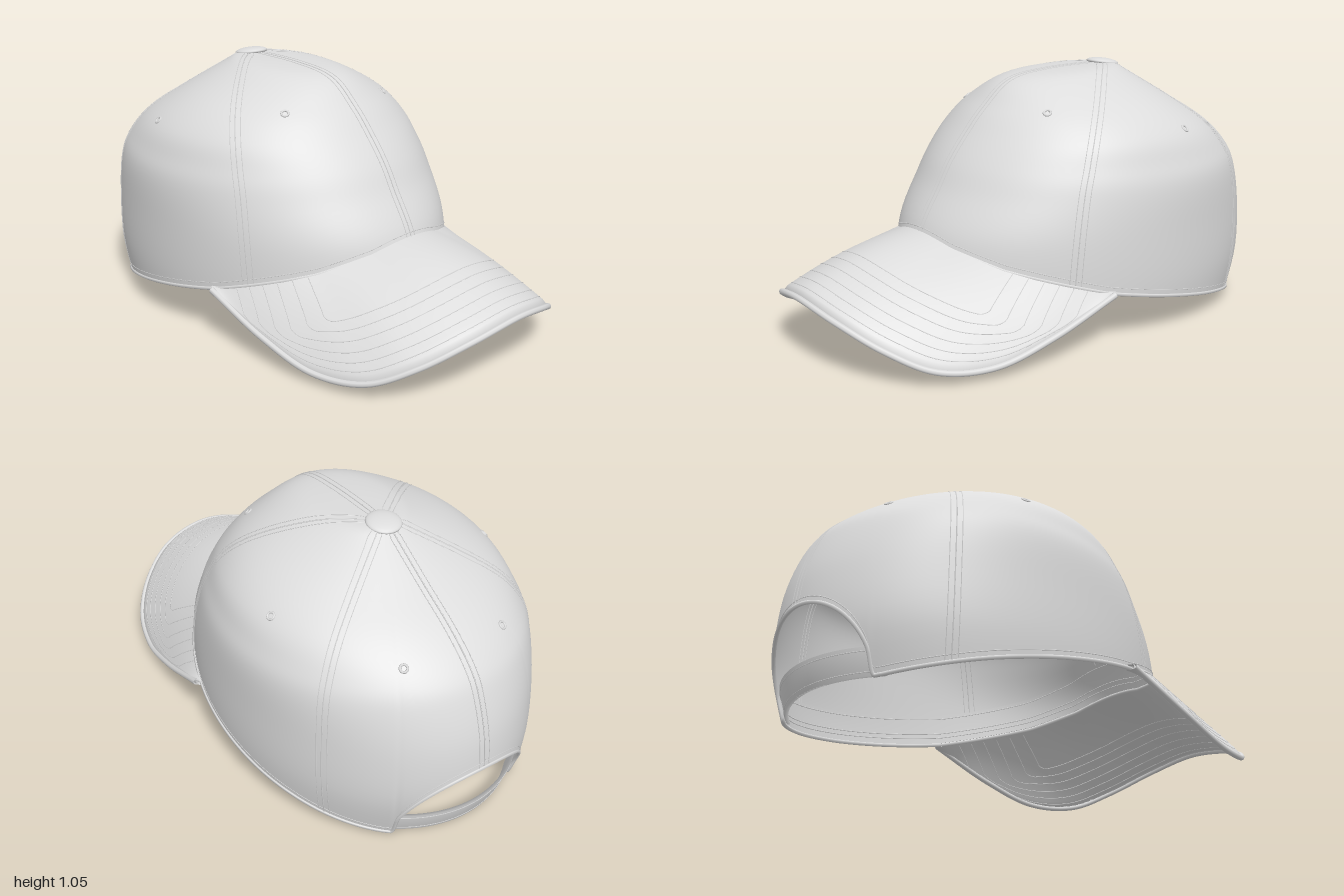
import * as THREE from 'three';
import { mergeVertices } from 'three/addons/utils/BufferGeometryUtils.js';

const fabric = new THREE.MeshStandardMaterial({ color: 0xdcdcdc, side: THREE.DoubleSide });
fabric.name = 'grey fabric';
const RAD = Math.PI / 180;

// Crown slices: height, forward offset, half length, half width (origin under the button, cap faces +z)
const SLICES = [
  [-0.02, 0.18, 0.775, 0.595], [0.2, 0.165, 0.825, 0.62], [0.42, 0.156, 0.81, 0.622],
  [0.6, 0.133, 0.735, 0.615], [0.7, 0.135, 0.675, 0.585], [0.8, 0.157, 0.575, 0.535],
  [0.9, 0.195, 0.445, 0.42], [1.0, 0.21, 0.3, 0.23], [1.031, 0.13, 0.17, 0.13], [1.036, 0, 0.004, 0.004],
];
const TOP = SLICES.length - 1;
// Height of the bottom edge against forward position
const RIM = [[-0.7, 0.01], [-0.53, 0.01], [-0.2, 0.085], [0.06, 0.14], [0.45, 0.22],
  [0.62, 0.27], [0.82, 0.33], [0.95, 0.39], [1.0, 0.43]];
const ARCH = 30, ARCH_TOP = 0.32;

function slice(k) {
  const i = Math.min(TOP - 1, Math.max(0, Math.floor(k))), t = k - i;
  const row = (n) => SLICES[Math.min(TOP, Math.max(0, n))];
  return [0, 1, 2, 3].map((c) => {
    const [a, b, d, e] = [row(i - 1)[c], row(i)[c], row(i + 1)[c], row(i + 2)[c]];
    return b + 0.5 * t * (d - a + t * (2 * a - 5 * b + 4 * d - e + t * (3 * (b - d) + e - a)));
  });
}

// Slice number for a height
function sliceAt(y) {
  let lo = 0, hi = TOP;
  for (let i = 0; i < 30; i++) {
    const mid = (lo + hi) / 2;
    if (slice(mid)[0] < y) lo = mid; else hi = mid;
  }
  return (lo + hi) / 2;
}

// Point on the crown at an angle from the front (degrees), a slice number and an outward offset
function onCrown(deg, k, off = 0) {
  const [y, c, a, b] = slice(k), s = Math.sin(deg * RAD), co = Math.cos(deg * RAD);
  const A = (co * co) / (a * a) + (s * s) / (b * b), B = (-c * co) / (a * a), C = (c * c) / (a * a) - 1;
  const r = Math.max(0, (-B + Math.sqrt(Math.max(0, B * B - A * C))) / A) + off;
  return new THREE.Vector3(r * s, y, r * co);
}

function rimY(deg) {
  const u = onCrown(deg, 1).z;
  let i = 0;
  while (i < RIM.length - 2 && u > RIM[i + 1][0]) i++;
  const [p, q] = [RIM[i], RIM[i + 1]];
  const y = p[1] + (q[1] - p[1]) * Math.min(1, (u - p[0]) / (q[0] - p[0]));
  const back = Math.abs(180 - (((deg % 360) + 360) % 360)) / ARCH;
  return back < 1 ? Math.max(y, ARCH_TOP * Math.sqrt(1 - back * back)) : y;
}
const onRim = (deg, up = 0, off = 0) => onCrown(deg, sliceAt(rimY(deg) + up), off);

// Smooth surface through a grid of points, f(i/cols, j/rows)
function grid(cols, rows, f) {
  const pos = [], idx = [], w = rows + 1;
  for (let i = 0; i <= cols; i++) for (let j = 0; j <= rows; j++) pos.push(...f(i / cols, j / rows).toArray());
  for (let i = 0; i < cols; i++) for (let j = 0; j < rows; j++) {
    const a = i * w + j, b = a + w;
    idx.push(a, b, b + 1, a, b + 1, a + 1);
  }
  let g = new THREE.BufferGeometry();
  g.setAttribute('position', new THREE.Float32BufferAttribute(pos, 3));
  g.setIndex(idx);
  g = mergeVertices(g, 1e-5);
  g.computeVertexNormals();
  return g;
}

// Thin cord through n + 1 points
function cord(n, radius, f, closed = false, sides = 4) {
  const pts = Array.from({ length: closed ? n : n + 1 }, (_, i) => f(i / n));
  return new THREE.TubeGeometry(new THREE.CatmullRomCurve3(pts, closed), n * 2, radius, sides, closed);
}

export function createModel() {
  const model = new THREE.Group();
  model.name = 'cap';
  const cap = new THREE.Group();
  cap.name = 'capBody';
  cap.rotation.y = 56.6 * RAD;
  cap.position.set(-0.36, 0, -0.25);
  model.add(cap);
  const add = (name, geometry) => {
    const m = new THREE.Mesh(geometry, fabric);
    m.name = name;
    cap.add(m);
    return m;
  };

  // Crown, its hem and the band inside
  add('crown', grid(240, 44, (i, j) => {
    const deg = i === 1 ? 0 : i * 360, k0 = sliceAt(rimY(deg));
    return onCrown(deg, k0 + (TOP - k0) * j);
  }));
  add('hem', cord(240, 0.008, (t) => onRim(t * 360), true, 5));
  add('hemStitch', cord(240, 0.002, (t) => onRim(t * 360, 0.025), true));
  add('sweatband', grid(120, 4, (i, j) => onRim(-148 + 296 * i, 0.005 + 0.13 * j, -0.01)));
  for (const up of [0.03, 0.05, 0.12]) {
    add('sweatbandStitch', cord(100, 0.002, (t) => onRim(-147 + 294 * t, up, -0.011)));
  }

  // Six panel seams, each a fine ridge between two rows of stitching
  for (const [top, bottom] of [[0, 0], [50, 42], [-50, -42], [123, 124], [-123, -124], [180, 180]]) {
    const k0 = sliceAt(rimY(bottom)), k1 = TOP - 0.3;
    for (const side of [-1, 0, 1]) {
      add(side ? 'seamStitch' : 'seam', cord(40, side ? 0.002 : 0.003, (t) => {
        const k = k0 + (k1 - k0) * t, deg = bottom + (top - bottom) * t;
        const p = onCrown(deg, k), r = Math.max(0.08, Math.hypot(p.x, p.z));
        return onCrown(deg + (side * 0.022) / r / RAD, k);
      }));
    }
  }

  // Eyelets, lying flat on the panels
  for (const s of [-1, 1]) for (const [deg, y] of [[27.6, 0.9], [91, 0.81], [153, 0.74]]) {
    const k = sliceAt(y), p = onCrown(s * deg, k);
    const du = onCrown(s * deg + 1, k).sub(p), dv = onCrown(s * deg, k + 0.05).sub(p);
    const eyelet = add('eyelet', new THREE.TorusGeometry(0.014, 0.005, 6, 16));
    eyelet.position.copy(p);
    eyelet.quaternion.setFromUnitVectors(new THREE.Vector3(0, 0, 1), du.cross(dv).normalize());
  }

  // Top button
  const button = add('button', new THREE.SphereGeometry(0.07, 28, 14));
  button.scale.y = 0.26;
  button.position.set(0, 1.033, 0);
  button.rotation.x = -0.14;

  // Back strap
  add('strap', grid(40, 4, (i, j) => {
    const [y, off] = [[0.012, -0.01], [0.11, -0.01], [0.11, -0.022], [0.012, -0.022], [0.012, -0.01]][Math.round(j * 4)];
    return onCrown(146 + 68 * i, sliceAt(y), off);
  }));
  for (const y of [0.026, 0.096]) add('strapStitch', cord(30, 0.002, (t) => onCrown(147 + 66 * t, sliceAt(y), -0.01)));

  // Brim, spanned between the crown's front edge and an outer curve
  const half = [[0.605, 0.22, 0.45], [0.595, 0.11, 0.75], [0.565, 0.045, 1.0], [0.5, 0.06, 1.21],
    [0.39, 0.135, 1.355], [0.22, 0.22, 1.46]];
  const outer = new THREE.CatmullRomCurve3([
    ...half.map(([x, y, z]) => new THREE.Vector3(-x, y, z)),
    new THREE.Vector3(0, 0.26, 1.495),
    ...half.slice().reverse().map((p) => new THREE.Vector3(...p)),
  ]);
  const brimPoint = (s, r, lift) => {
    const p = onRim(-54 + 108 * s, 0, -0.006).lerp(outer.getPointAt(s), r);
    p.y += lift + 0.025 * Math.sin(Math.PI * r) * Math.sin(Math.PI * s);
    return p;
  };
  add('brim', grid(90, 36, (s, j) => {
    const r = 1 - Math.abs(2 * j - 1);
    return brimPoint(s, r, j === 0.5 ? 0 : j < 0.5 ? 0.011 : -0.011);
  }));
  add('brimEdge', cord(90, 0.0125, (s) => brimPoint(s, 0.995, 0), false, 8));

  // Nested stitch rows: out from the crown, across the front, and back
  for (const [width, depth] of [[0.5, 0.5], [0.57, 0.59], [0.64, 0.68], [0.71, 0.77], [0.78, 0.85], [0.85, 0.92]]) {
    for (const lift of [0.011, -0.011]) {
      add('brimStitch', cord(60, 0.002, (t) => {
        const u = 2 * t - 1;
        const across = THREE.MathUtils.clamp(u * 1.6, -1, 1), out = Math.min(1, (1 - Math.abs(u)) / 0.4);
        return brimPoint(0.5 + 0.5 * width * across, 0.03 + (depth - 0.03) * out, lift);
      }));
    }
  }
  return model;
}
